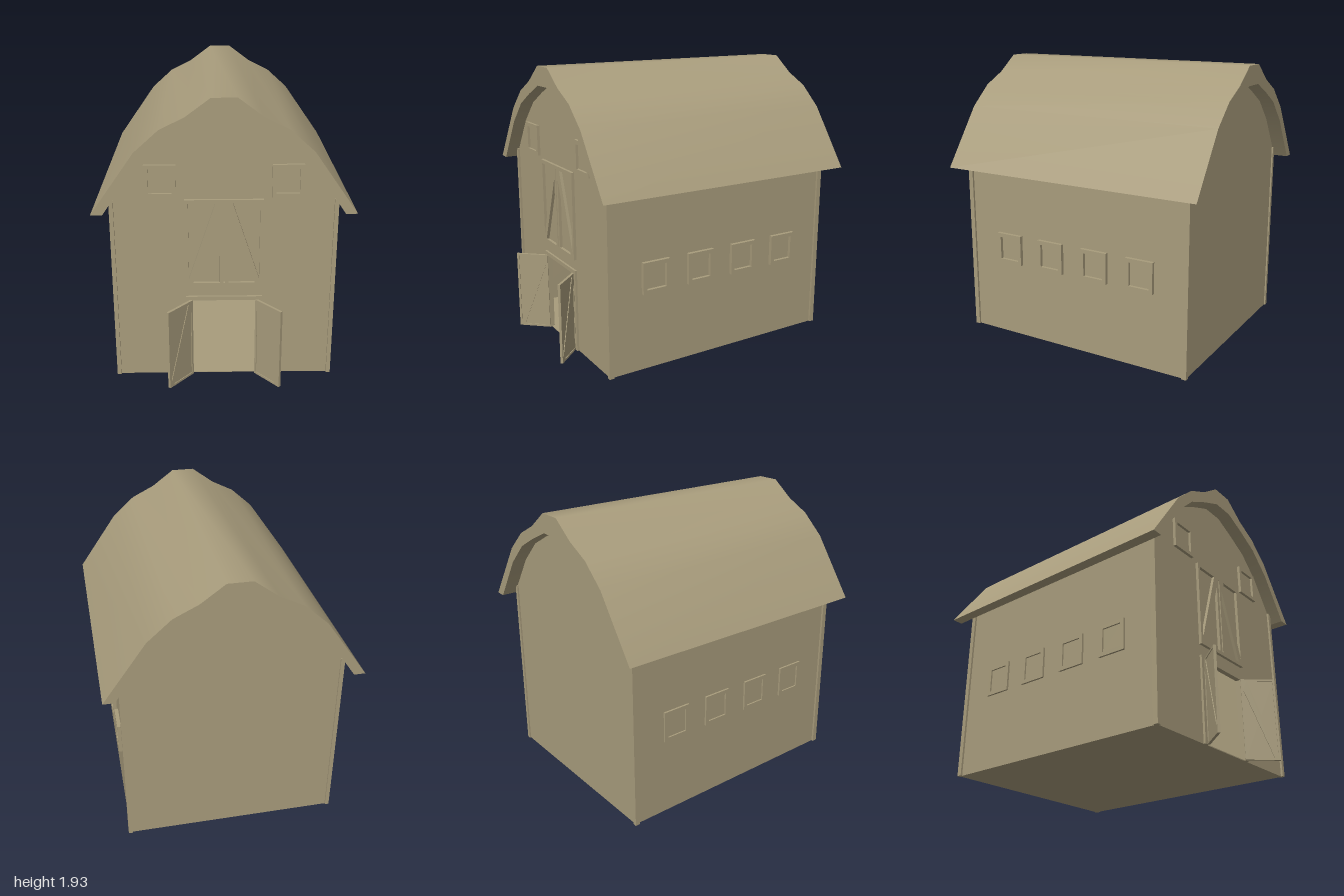
import * as THREE from 'three';
import { toCreasedNormals } from 'three/addons/utils/BufferGeometryUtils.js';

const material = new THREE.MeshStandardMaterial({ color: 0xcccccc });
material.color.set(0xa89c7c);

const WALL_X = 0.71, FRONT = 0.81, BACK = -0.9, T = 0.02;

// right half of the gambrel roof, ridge to eave
const OUTER = [[0.08, 1.93], [0.235, 1.815], [0.395, 1.735], [0.55, 1.595], [0.83, 1.195]];
const INNER = [[0.08, 1.8], [0.235, 1.73], [0.395, 1.645], [0.55, 1.495], [0.755, 1.195]];
const flip = (pts) => pts.map(([x, y]) => [-x, y]);

function outline(pts, Type = THREE.Shape) {
  return new Type(pts.map(([x, y]) => new THREE.Vector2(x, y)));
}

function rect(x0, y0, x1, y1) {
  return [[x0, y0], [x1, y0], [x1, y1], [x0, y1]];
}

function add(parent, name, geometry, x = 0, y = 0, z = 0) {
  const mesh = new THREE.Mesh(geometry, material);
  mesh.name = name;
  mesh.position.set(x, y, z);
  parent.add(mesh);
  return mesh;
}

function slab(pts, depth, holes = []) {
  const shape = outline(pts);
  holes.forEach((h) => shape.holes.push(outline(h, THREE.Path)));
  return new THREE.ExtrudeGeometry(shape, { depth, bevelEnabled: false });
}

// square window surround, back face on z = 0
function windowFrame(name, depth) {
  const g = new THREE.Group();
  g.name = name;
  add(g, 'windowSurround', slab(rect(-0.1, -0.107, 0.1, 0.107), depth, [rect(-0.073, -0.08, 0.073, 0.08)]));
  add(g, 'windowPane', new THREE.BoxGeometry(0.15, 0.164, 0.006));
  return g;
}

// two triangles either side of a diagonal brace running up from (x0, y0) to (x1, y1)
function braceHoles(x0, y0, x1, y1, gap) {
  const dx = Math.sign(x1 - x0) * gap;
  return [
    [[x0, y0 + gap], [x1 - dx, y1], [x0, y1]],
    [[x0 + dx, y0], [x1, y0], [x1, y1 - gap * 2.5]],
  ];
}

// open door leaf: hinge at x = 0, braced on both faces
function doorLeaf(side) {
  const g = new THREE.Group();
  g.name = side > 0 ? 'leftDoor' : 'rightDoor';
  const w = 0.23, h = 0.56;
  add(g, 'doorPanel', new THREE.BoxGeometry(w - 0.01, h - 0.01, 0.008), w / 2, h / 2, 0);
  add(g, 'doorBraces', slab(rect(0, 0, w, h), 0.018,
    braceHoles(w - 0.015, 0.015, 0.015, h - 0.015, 0.025)), 0, 0, -0.009);
  g.position.set(side * 0.212, 0.003, FRONT + 0.012);
  g.rotation.y = side > 0 ? -0.85 : -Math.PI + 0.85;
  return g;
}

export function createModel() {
  const barn = new THREE.Group();
  barn.name = 'barn';

  // roof shell
  const roofPts = [...flip(OUTER).reverse(), ...OUTER, ...[...INNER].reverse(), ...flip(INNER)];
  add(barn, 'roof', toCreasedNormals(slab(roofPts, 1.9), 0.8), 0, 0, -1);

  // gable walls follow the underside of the roof
  const top = [[WALL_X, 1.262], ...[...INNER.slice(0, 4)].reverse()];
  const over = [...top, ...flip(top).reverse()];
  const doorway = [[-0.21, 0], [-0.21, 0.56], [0.21, 0.56], [0.21, 0]];
  add(barn, 'frontWall', slab([[-WALL_X, 0], ...doorway, [WALL_X, 0], ...over], T), 0, 0, FRONT - T);
  add(barn, 'backWall', slab([[-WALL_X, 0], [WALL_X, 0], ...over], T), 0, 0, BACK);

  // floor and side walls
  const length = FRONT - BACK, mid = (FRONT + BACK) / 2;
  add(barn, 'floor', new THREE.BoxGeometry(2 * WALL_X, 0.006, length), 0, 0.003, mid);
  for (const s of [-1, 1]) {
    const side = s > 0 ? 'left' : 'right';
    add(barn, side + 'Wall', new THREE.BoxGeometry(T, 1.262, length), s * (WALL_X - T / 2), 0.631, mid);

    // corner posts
    for (const z of [FRONT - 0.003, BACK + 0.007]) {
      add(barn, 'cornerPost', new THREE.BoxGeometry(0.027, 1.262, 0.034), s * 0.7105, 0.631, z);
    }

    // side windows
    for (const z of [0.475, 0.13, -0.22, -0.565]) {
      const win = windowFrame(side + 'Window', s > 0 ? 0.025 : 0.014);
      win.position.set(s * WALL_X, 0.638, z);
      win.rotation.y = s * Math.PI / 2;
      barn.add(win);
    }

    // gable window and door
    const gableWindow = windowFrame('gableWindow', 0.02);
    gableWindow.position.set(s * 0.4, 1.387, FRONT);
    barn.add(gableWindow);
    barn.add(doorLeaf(s));
  }

  // hayloft hatch with two braced leaves and a centre gap
  const hatchHoles = [rect(-0.005, 0.69, 0.005, 1.24)];
  for (const s of [-1, 1]) hatchHoles.push(...braceHoles(s * 0.228, 0.69, s * 0.028, 1.24, 0.028));
  add(barn, 'loftHatch', slab(rect(-0.25, 0.665, 0.25, 1.265), 0.02, hatchHoles), 0, 0, FRONT);

  // doorway trim
  add(barn, 'doorTrim', slab([[-0.25, 0], [-0.21, 0], [-0.21, 0.56], [0.21, 0.56], [0.21, 0],
    [0.25, 0], [0.25, 0.587], [-0.25, 0.587]], 0.015), 0, 0, FRONT);

  return barn;
}
